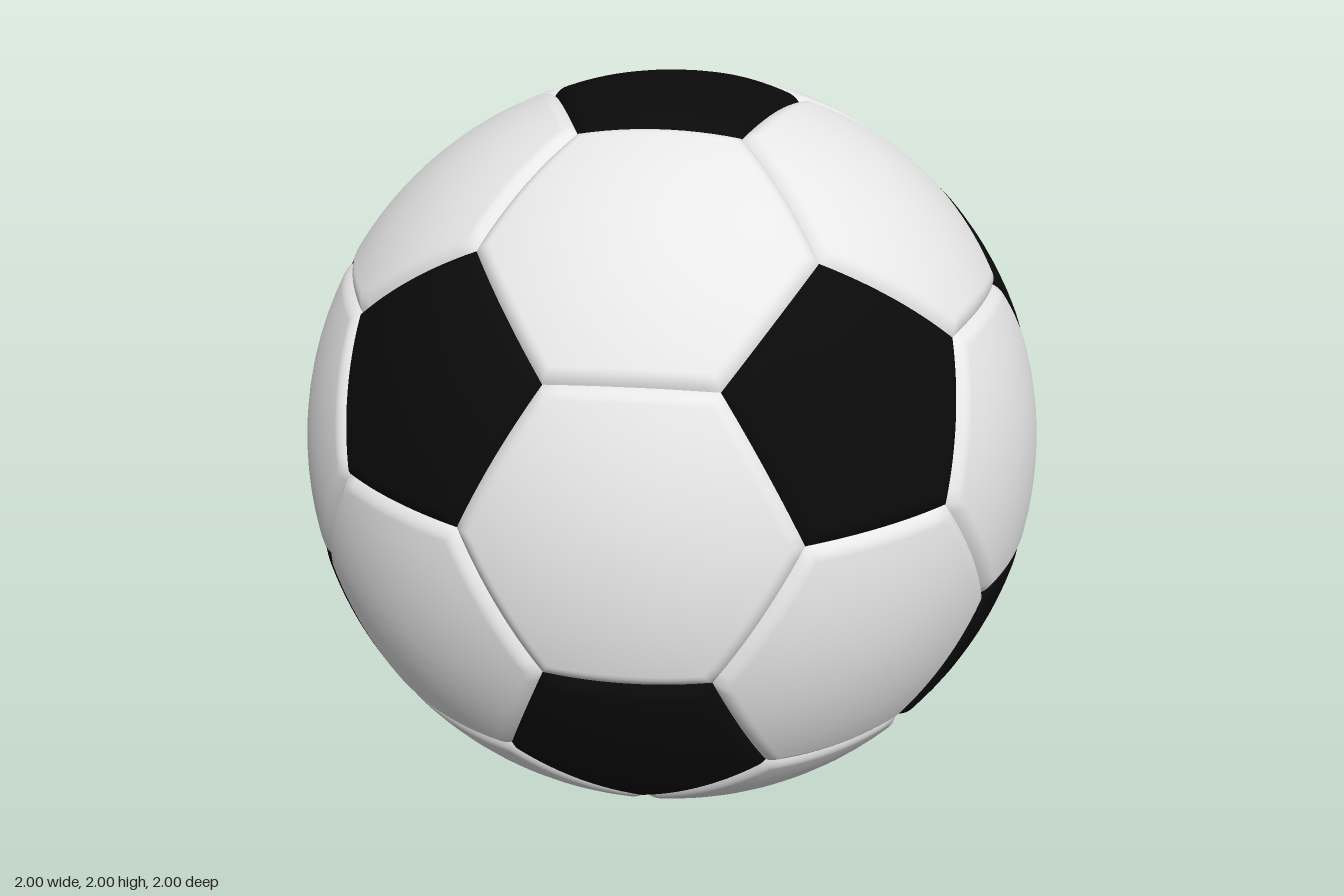
import * as THREE from 'three';

const SEAM_WIDTH = 0.04;
const SEAM_DEPTH = 0.017;
const EDGE_STEPS = 12;

// Twelve icosahedron corners, one at the top: the black panel centres
function icosahedronCorners() {
  const list = [new THREE.Vector3(0, 1, 0), new THREE.Vector3(0, -1, 0)];
  const h = 1 / Math.sqrt(5), r = 2 / Math.sqrt(5);
  for (let i = 0; i < 5; i++) {
    const a = (i * 2 * Math.PI) / 5, b = a + Math.PI / 5;
    list.push(new THREE.Vector3(r * Math.cos(a), h, r * Math.sin(a)));
    list.push(new THREE.Vector3(r * Math.cos(b), -h, r * Math.sin(b)));
  }
  return list;
}

// The corners nearest to a panel centre, counter-clockwise seen from outside
function panelCorners(centre, points, count) {
  const near = [...points]
    .sort((a, b) => a.distanceToSquared(centre) - b.distanceToSquared(centre))
    .slice(0, count);
  const u = near[0].clone().projectOnPlane(centre).normalize();
  const v = new THREE.Vector3().crossVectors(centre, u);
  const angle = (p) => Math.atan2(p.dot(v), p.dot(u));
  return near.sort((a, b) => angle(a) - angle(b));
}

// Spherical panel made of rings, rounded down into the seam at its border
function panelGeometry(corners) {
  const n = corners.length, around = n * EDGE_STEPS;
  const middle = corners.reduce((s, p) => s.add(p), new THREE.Vector3()).divideScalar(n);
  const inradius = corners[0].clone().lerp(corners[1], 0.5).distanceTo(middle);
  const distances = [0, 0.004, 0.009, 0.015, 0.022, 0.03, 0.04];
  for (let i = 1; i < 6; i++) distances.push(0.04 + ((inradius - 0.04) * i) / 6);

  const positions = [], index = [];
  for (const d of distances) {
    const t = 1 - d / inradius;
    const s = Math.min(d / SEAM_WIDTH, 1);
    const radius = 1 - SEAM_DEPTH * (1 - s) ** 2;
    for (let i = 0; i < around; i++) {
      const k = Math.floor(i / EDGE_STEPS);
      const p = corners[k].clone()
        .lerp(corners[(k + 1) % n], (i % EDGE_STEPS) / EDGE_STEPS);
      p.lerpVectors(middle, p, t).setLength(radius);
      positions.push(p.x, p.y, p.z);
    }
  }
  const tip = middle.clone().normalize();
  positions.push(tip.x, tip.y, tip.z);

  const last = distances.length - 1, tipIndex = distances.length * around;
  for (let r = 0; r <= last; r++) {
    for (let i = 0; i < around; i++) {
      const a = r * around + i, b = r * around + ((i + 1) % around);
      if (r === last) index.push(a, b, tipIndex);
      else index.push(a, b, b + around, a, b + around, a + around);
    }
  }
  const geometry = new THREE.BufferGeometry();
  geometry.setAttribute('position', new THREE.Float32BufferAttribute(positions, 3));
  geometry.setIndex(index);
  geometry.computeVertexNormals();
  return geometry;
}

export function createModel() {
  const white = new THREE.MeshStandardMaterial({ color: 0xe7e7e7 });
  white.name = 'white';
  const black = new THREE.MeshStandardMaterial({ color: 0x0a0a0a });
  black.name = 'black';

  const ico = icosahedronCorners();
  const adjacent = (a, b) => a !== b && a.dot(b) > 0.4;

  // Sixty panel corners, a third of the way along each icosahedron edge
  const points = [];
  for (const a of ico) for (const b of ico) {
    if (adjacent(a, b)) points.push(a.clone().lerp(b, 1 / 3).normalize());
  }

  // Twenty icosahedron faces: the white panel centres
  const faces = [];
  for (let i = 0; i < 12; i++) for (let j = i + 1; j < 12; j++) for (let k = j + 1; k < 12; k++) {
    const [a, b, c] = [ico[i], ico[j], ico[k]];
    if (adjacent(a, b) && adjacent(b, c) && adjacent(a, c)) {
      faces.push(a.clone().add(b).add(c).normalize());
    }
  }

  const ball = new THREE.Group();
  ball.name = 'ball';
  const addPanels = (name, centres, sides, material) => {
    const group = new THREE.Group();
    group.name = name + 's';
    centres.forEach((centre, i) => {
      const mesh = new THREE.Mesh(panelGeometry(panelCorners(centre, points, sides)), material);
      mesh.name = name + (i + 1);
      group.add(mesh);
    });
    ball.add(group);
  };
  addPanels('pentagonPanel', ico, 5, black);
  addPanels('hexagonPanel', faces, 6, white);
  ball.position.y = 1;

  const model = new THREE.Group();
  model.name = 'football';
  model.add(ball);
  return model;
}
